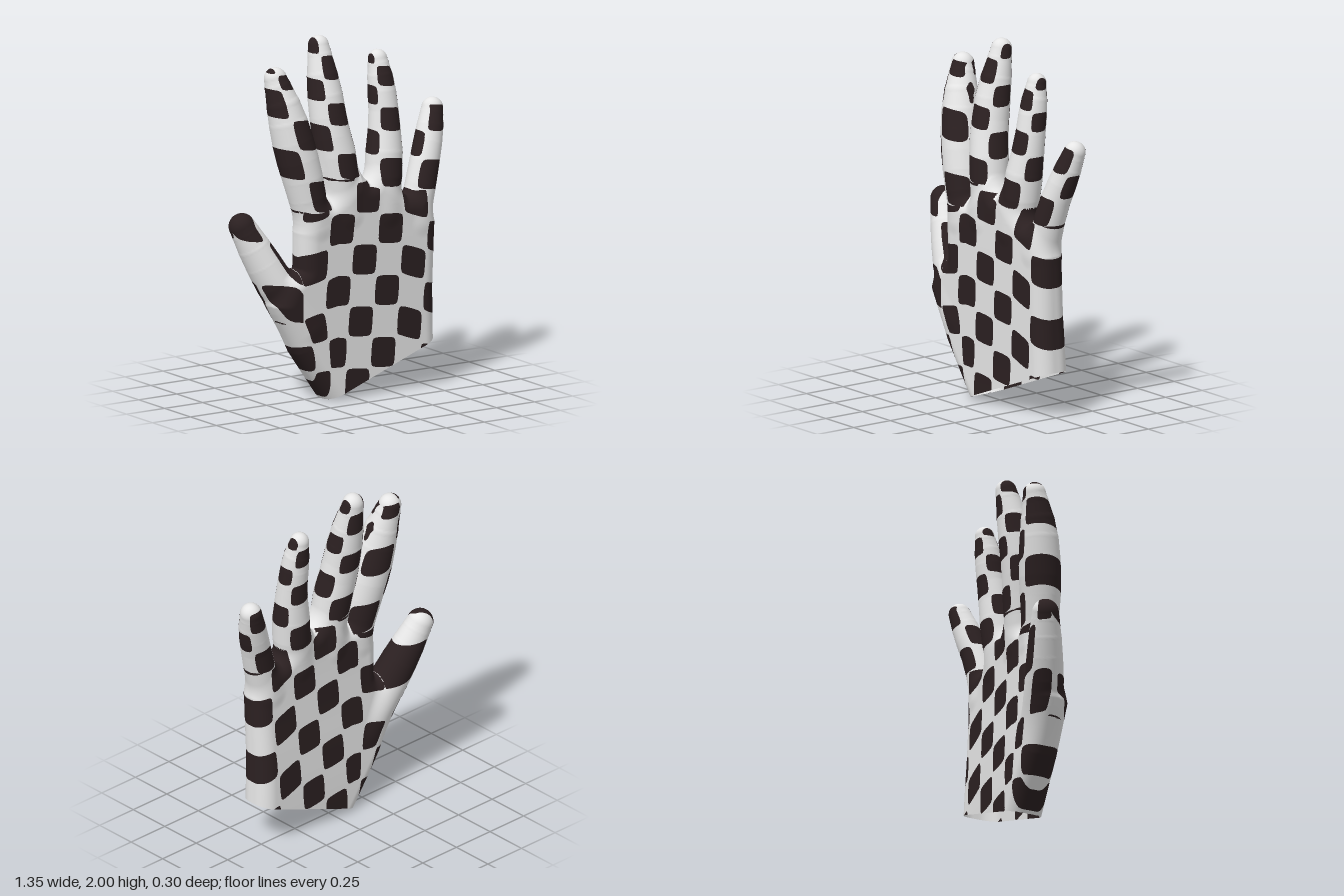
import * as THREE from 'three';

const clamp = THREE.MathUtils.clamp;

// One corner-cutting pass over a list of points
const soften = pts => [pts[0], ...pts.slice(1).flatMap((p, i) =>
  [0.25, 0.75].map(t => p.map((v, k) => pts[i][k] * (1 - t) + v * t))), pts.at(-1)];

// Digits: spine points are [x, y, z, radius]; s = checker column on the axis,
// width = column width in radii, row = row above the first edge,
// edges = heights where rows change, twist = column shift over the back.
const DIGITS = {
  thumb: {
    spine: soften([[-0.28, 0.42, 0.025, 0.1], [-0.41, 0.62, 0.0, 0.11], [-0.522, 0.83, -0.045, 0.097], [-0.607, 0.998, -0.08, 0.073]]),
    s: -2.85, width: 1.7, twist: 1.3, row: -1, edges: [0.46, 0.68, 0.92],
  },
  indexFinger: {
    spine: soften([[-0.23, 0.98, 0.05, 0.09], [-0.275, 1.2, 0.04, 0.109], [-0.322, 1.4, 0.015, 0.117], [-0.364, 1.6, -0.01, 0.104], [-0.405, 1.8, -0.055, 0.063]]),
    s: -2.25, width: 1.35, twist: 0, row: 2, edges: [1.07, 1.25, 1.42, 1.59, 1.75, 1.83],
  },
  middleFinger: {
    spine: soften([[-0.03, 1.02, 0.05, 0.09], [-0.053, 1.3, 0.035, 0.11], [-0.09, 1.5, 0.005, 0.104], [-0.1, 1.72, -0.035, 0.095], [-0.1, 1.94, -0.087, 0.058]]),
    s: -1.1, width: 1.3, twist: 0, row: 3, edges: [1.23, 1.375, 1.525, 1.65, 1.77, 1.9],
  },
  ringFinger: {
    spine: soften([[0.22, 1.0, 0.05, 0.09], [0.247, 1.26, 0.035, 0.108], [0.27, 1.5, 0.005, 0.084], [0.268, 1.7, -0.025, 0.076], [0.263, 1.827, -0.05, 0.053]]),
    s: 1, width: 1.5, twist: 0, row: 3, edges: [1.15, 1.31, 1.45, 1.58, 1.69, 1.8],
  },
  littleFinger: {
    spine: soften([[0.435, 0.92, 0.045, 0.09], [0.505, 1.18, 0.03, 0.084], [0.575, 1.38, -0.01, 0.078], [0.615, 1.51, -0.04, 0.06]]),
    s: 3, width: 1.6, twist: 0, row: 3, edges: [1.1, 1.26, 1.4, 1.54],
  },
};
const PALM = [[0.0, -0.22], [0.56, -0.22], [0.537, 0.55], [0.545, 0.92], [0.48, 1.08], [0.36, 1.08], [0.17, 1.25], [0.11, 1.19],
  [0.04, 1.26], [-0.15, 1.11], [-0.3, 1.12], [-0.34, 0.95], [-0.335, 0.75], [-0.42, 0.7], [-0.495, 0.56], [-0.35, 0.275]];

const cuff = x => 0.38 * (x + 0.16); // slanted open wrist

// Distance to a chain of tapered capsules
function digitDistance(spine, x, y, z) {
  let best = Infinity;
  for (let i = 1; i < spine.length; i++) {
    const [ax, ay, az, ar] = spine[i - 1], [bx, by, bz, br] = spine[i];
    const dx = bx - ax, dy = by - ay, dz = bz - az;
    const t = clamp(((x - ax) * dx + (y - ay) * dy + (z - az) * dz) / (dx * dx + dy * dy + dz * dz), 0, 1);
    best = Math.min(best, Math.hypot(x - ax - t * dx, y - ay - t * dy, z - az - t * dz) - ar - t * (br - ar));
  }
  return best;
}

// Distance to the palm outline, given thickness and a rounded rim
function palmDistance(x, y, z) {
  let d = Infinity, sign = 1;
  for (let i = 0, j = PALM.length - 1; i < PALM.length; j = i++) {
    const [ax, ay] = PALM[i], [bx, by] = PALM[j];
    const ex = bx - ax, ey = by - ay, wx = x - ax, wy = y - ay;
    const t = clamp((wx * ex + wy * ey) / (ex * ex + ey * ey), 0, 1);
    d = Math.min(d, Math.hypot(wx - t * ex, wy - t * ey));
    if ((ay > y) !== (by > y) && x < ex * wy / ey + ax) sign = -sign;
  }
  const rise = THREE.MathUtils.smoothstep(y, 0.1, 1.1);
  const half = 0.103 - 0.01 * rise, r = 0.085;
  const qx = sign * d + r, qz = Math.abs(z - 0.023 - 0.027 * rise) - half + r;
  return Math.min(Math.max(qx, qz), 0) + Math.hypot(Math.max(qx, 0), Math.max(qz, 0)) - r;
}

function handDistance(x, y, z) {
  let d = palmDistance(x, y, z);
  for (const name in DIGITS) {
    const e = digitDistance(DIGITS[name].spine, x, y, z), k = 0.035;
    const h = Math.max(k - Math.abs(d - e), 0) / k;
    d = Math.min(d, e) - h * h * k / 4; // soft webbing between parts
  }
  return d;
}

function gradient(x, y, z) {
  const e = 0.004;
  return new THREE.Vector3(
    handDistance(x + e, y, z) - handDistance(x - e, y, z),
    handDistance(x, y + e, z) - handDistance(x, y - e, z),
    handDistance(x, y, z + e) - handDistance(x, y, z - e)).normalize();
}

// Which part a surface point belongs to
function partAt({ x, y, z }) {
  const distance = key => digitDistance(DIGITS[key].spine, x, y, z);
  const name = Object.keys(DIGITS).reduce((a, b) => (distance(b) < distance(a) ? b : a));
  return y < DIGITS[name].edges[0] || (name === 'thumb' && x > -0.35) ? 'palm' : name;
}

// Checker value, positive where dark: a leaning lattice on the palm, rows along each digit
function checker(part, { x, y, z }) {
  let s, t;
  if (part === 'palm') {
    const px = x - 0.05 - 2.9 * Math.max(0, -0.1 - x) * Math.max(0, 0.5 - y); // columns gather at the wrist
    const py = y - 0.77 + 0.3 * Math.max(0, -0.12 - x) + 0.25 * Math.max(0, x - 0.3);
    const det = 0.16 * 0.172 + 0.01 * 0.018;
    s = (0.172 * px - 0.01 * py) / det;
    t = (0.16 * py + 0.018 * px) / det;
  } else {
    const { spine, s: column, width, twist, row, edges } = DIGITS[part];
    let i = 1, j = 0;
    while (i < spine.length - 1 && spine[i][1] < y) i++;
    const a = spine[i - 1], b = spine[i], f = clamp((y - a[1]) / (b[1] - a[1]), 0, 1);
    const [cx, , cz, r] = a.map((v, k) => v + (b[k] - v) * f);
    const h = y + 0.12 * (x - cx);
    while (j < edges.length - 2 && h > edges[j + 1]) j++;
    s = column + (x - cx + twist * Math.max(0, cz - z)) / (width * r);
    t = row - 0.5 + j + (h - edges[j]) / (edges[j + 1] - edges[j]);
  }
  return Math.cos(Math.PI * s) * Math.cos(Math.PI * t) - 0.05;
}

// Quad mesh over the zero level of the hand, one vertex per crossed cell
function meshHand() {
  const step = 0.011, min = [-0.74, -0.05, -0.2], n = [132, 190, 36];
  const stride = [1, n[0], n[0] * n[1]], total = n[0] * n[1] * n[2];
  const field = new Float32Array(total).fill(1), cell = new Int32Array(total).fill(-1);
  const points = [], normals = [], triangles = [];
  const each = (from, fn) => {
    for (let k = from; k < n[2] - 1; k++) for (let j = from; j < n[1] - 1; j++) for (let i = from; i < n[0] - 1; i++)
      fn(i + j * stride[1] + k * stride[2], [i, j, k]);
  };
  each(0, (id, g) => { field[id] = handDistance(...g.map((v, a) => min[a] + v * step)); });
  each(0, (id, g) => {
    const sum = [0, 0, 0];
    let count = 0;
    for (let c = 0; c < 8; c++) for (let a = 0; a < 3; a++) {
      if (c >> a & 1) continue;
      const o = [c & 1, c >> 1 & 1, c >> 2];
      const p = id + o[0] + o[1] * stride[1] + o[2] * stride[2];
      const f0 = field[p], f1 = field[p + stride[a]];
      if ((f0 < 0) === (f1 < 0)) continue;
      o[a] += f0 / (f0 - f1);
      o.forEach((v, b) => { sum[b] += v; });
      count++;
    }
    if (!count) return;
    const p = new THREE.Vector3(...g.map((v, a) => min[a] + step * (v + sum[a] / count)));
    const normal = gradient(p.x, p.y, p.z);
    p.addScaledVector(normal, -clamp(handDistance(p.x, p.y, p.z), -step / 2, step / 2));
    cell[id] = points.push(p) - 1;
    normals.push(normal);
  });
  each(1, id => {
    for (let a = 0; a < 3; a++) {
      const inside = field[id] < 0;
      if (inside === field[id + stride[a]] < 0) continue;
      const b = stride[(a + 1) % 3], c = stride[(a + 2) % 3];
      const q = [id - b - c, id - c, id, id - b].map(v => cell[v]);
      if (!inside) q.reverse();
      triangles.push([q[0], q[1], q[2]], [q[0], q[2], q[3]]);
    }
  });
  return { points, normals, triangles: triangles.filter(t => !t.includes(-1)) };
}

export function createModel() {
  const white = new THREE.MeshStandardMaterial({ name: 'white', color: 0xe6e6e6, side: THREE.DoubleSide });
  const dark = new THREE.MeshStandardMaterial({ name: 'dark brown', color: 0x2b2021, side: THREE.DoubleSide });
  const { points, normals, triangles } = meshHand();
  const below = points.map(p => p.y < cuff(p.x));
  points.forEach((p, i) => { if (below[i]) p.y = cuff(p.x); }); // trim to the cuff

  // Sort the faces by part and colour, cutting those that cross a checker edge
  const parts = {};
  for (const tri of triangles) {
    if (tri.every(i => below[i])) continue;
    const centre = new THREE.Vector3();
    tri.forEach(i => centre.addScaledVector(points[i], 1 / 3));
    const name = partAt(centre), faces = parts[name] ??= [[], []];
    const value = tri.map(i => checker(name, points[i])), shade = value.map(v => (v > 0 ? 1 : 0));
    const lone = [0, 1, 2].find(k => shade[k] !== shade[(k + 1) % 3] && shade[k] !== shade[(k + 2) % 3]);
    if (lone === undefined) { faces[shade[0]].push(...tri); continue; }
    const [a, b, c] = [0, 1, 2].map(k => tri[(lone + k) % 3]);
    const [ab, ac] = [1, 2].map(k => {
      const end = (lone + k) % 3, f = value[lone] / (value[lone] - value[end]);
      normals.push(normals[a].clone().lerp(normals[tri[end]], f).normalize());
      return points.push(points[a].clone().lerp(points[tri[end]], f)) - 1;
    });
    faces[shade[lone]].push(a, ab, ac);
    faces[1 - shade[lone]].push(ab, b, c, ab, c, ac);
  }

  const hand = new THREE.Group();
  hand.name = 'checkeredHand';
  for (const name in parts) {
    const [light, shade] = parts[name], all = light.concat(shade);
    const used = [...new Set(all)], slot = new Map(used.map((v, i) => [v, i]));
    const geometry = new THREE.BufferGeometry();
    geometry.setAttribute('position', new THREE.Float32BufferAttribute(used.flatMap(i => points[i].toArray()), 3));
    geometry.setAttribute('normal', new THREE.Float32BufferAttribute(used.flatMap(i => normals[i].toArray()), 3));
    geometry.setIndex(all.map(i => slot.get(i)));
    geometry.addGroup(0, light.length, 0);
    geometry.addGroup(light.length, shade.length, 1);
    const mesh = new THREE.Mesh(geometry, [white, dark]);
    mesh.name = name;
    hand.add(mesh);
  }
  return hand;
}
